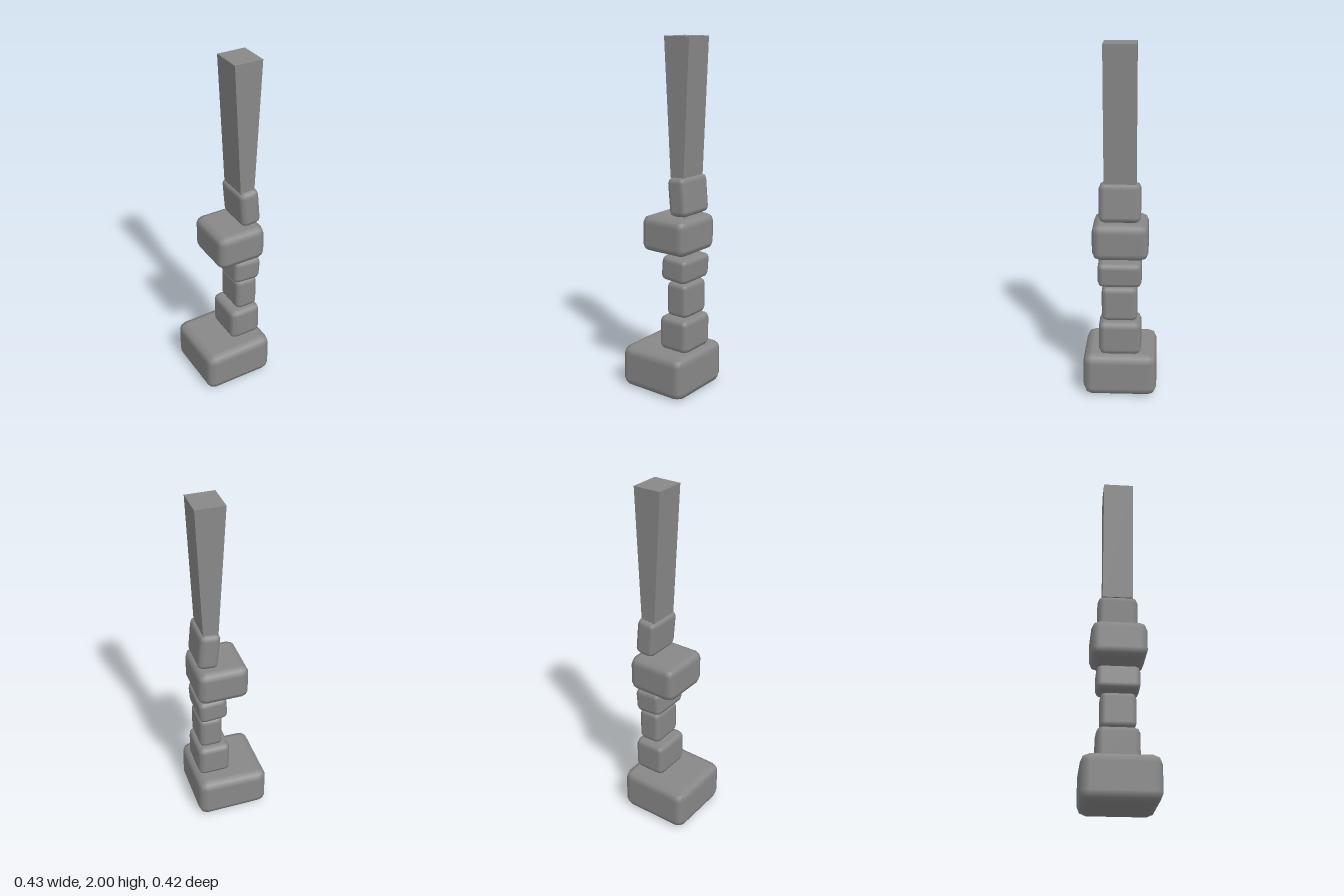
import * as THREE from 'three';
import { RoundedBoxGeometry } from 'three/addons/geometries/RoundedBoxGeometry.js';

export function createModel() {
  const model = new THREE.Group();
  model.name = 'stackedStonePillar';
  const stone = new THREE.MeshStandardMaterial({ color: 0x888888 });
  stone.name = 'grey stone';

  function add(name, geometry, x, y, z, tilt = 0) {
    const mesh = new THREE.Mesh(geometry, stone);
    mesh.name = name;
    mesh.position.set(x, y, z);
    mesh.rotation.z = tilt;
    model.add(mesh);
    return mesh;
  }

  // Bevelled stones: name, size, centre, bevel radius, tilt
  const stones = [
    ['baseStone', [0.425, 0.255, 0.42], [-0.002, 0.1275, 0], 0.05, 0],
    ['lowerStone', [0.195, 0.2, 0.24], [0.088, 0.352, 0], 0.035, 0],
    ['middleStone', [0.138, 0.202, 0.2], [0.101, 0.558, 0.003], 0.03, 0],
    ['smallStone', [0.168, 0.142, 0.245], [0.093, 0.737, 0.002], 0.03, -0.07],
    ['wideStone', [0.297, 0.208, 0.312], [0.04, 0.926, -0.001], 0.045, 0],
    ['upperStone', [0.12, 0.218, 0.23], [0.11, 1.148, 0.001], 0.032, 0.09],
  ];
  for (const [name, [w, h, d], [x, y, z], r, tilt] of stones) {
    const geometry = new RoundedBoxGeometry(w, h, d, 1, r);
    if (name === 'baseStone') {
      // The base top dips a little toward its right-hand end
      const p = geometry.attributes.position;
      for (let i = 0; i < p.count; i++) {
        if (p.getY(i) > 0 && p.getX(i) < 0) p.setY(i, p.getY(i) - 0.008);
      }
    }
    add(name, geometry, x, y, z, tilt);
  }

  // Tall post, widening upward in x only
  const bottom = 1.25, height = 2 - bottom;
  const post = new THREE.BoxGeometry(1, height, 0.176);
  const p = post.attributes.position;
  for (let i = 0; i < p.count; i++) {
    const top = p.getY(i) > 0;
    p.setX(i, p.getX(i) * (top ? 0.163 : 0.086) + (top ? 0.093 : 0.098));
  }
  post.computeVertexNormals();
  add('flaredPost', post, 0, bottom + height / 2, 0);

  return model;
}
